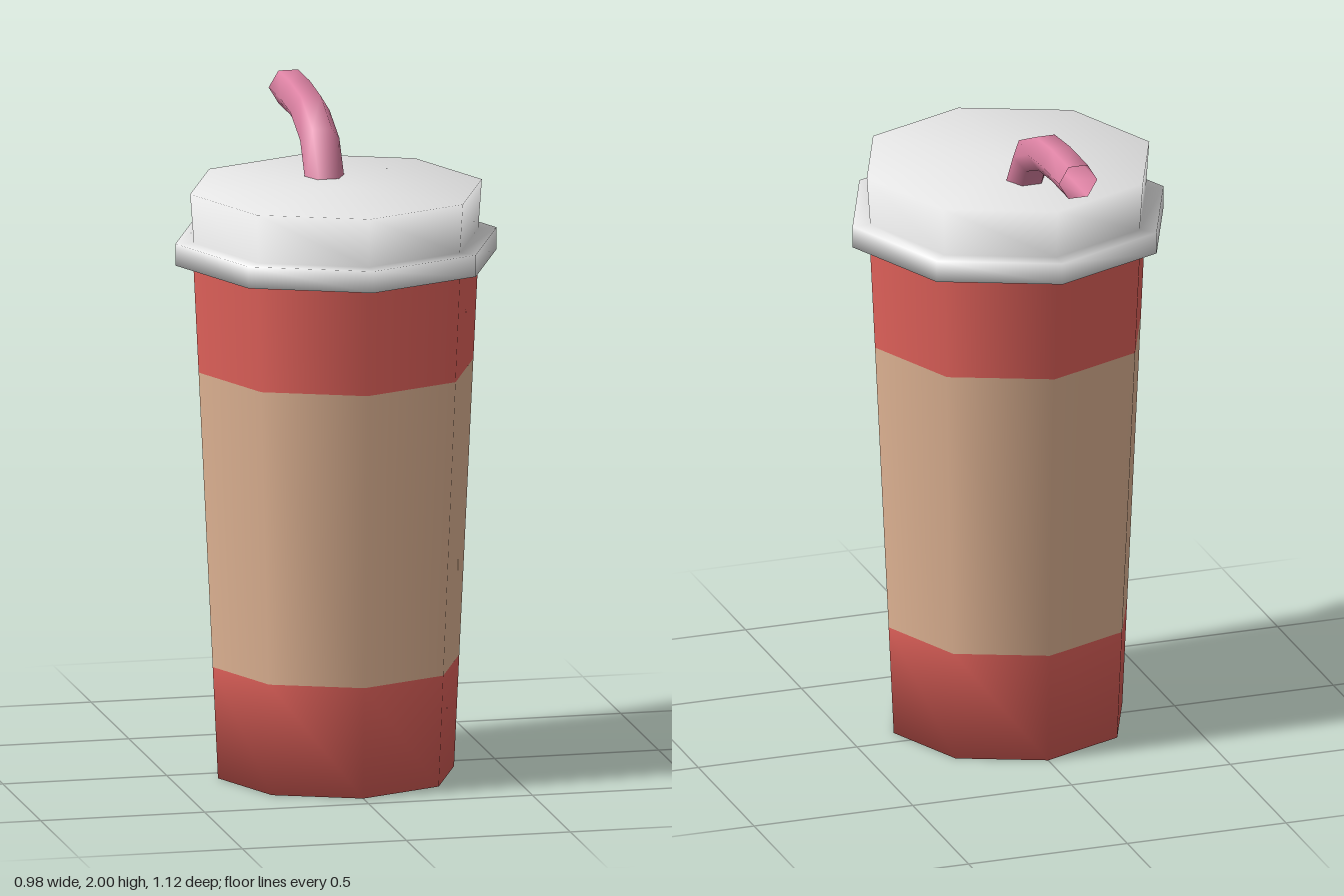
import * as THREE from 'three';

const SIDES = 8;

function material(name, color, side = THREE.FrontSide) {
  const m = new THREE.MeshStandardMaterial({ color, side });
  m.name = name;
  return m;
}

// Smooth eight-sided turned part; profile runs [radius, height] from bottom to top
function turned(name, profile, mat) {
  const points = profile.map(([r, y]) => new THREE.Vector2(r, y));
  const mesh = new THREE.Mesh(new THREE.LatheGeometry(points, SIDES), mat);
  mesh.name = name;
  return mesh;
}

// Open hexagonal tube following [z, y] points in the plane x = 0
function bentTube(path, halfWidth, halfHeight) {
  const centres = path.map(([z, y]) => new THREE.Vector3(0, y, z));
  const positions = [];
  const index = [];
  const n = 6;
  centres.forEach((c, i) => {
    const before = centres[Math.max(i - 1, 0)];
    const after = centres[Math.min(i + 1, centres.length - 1)];
    const dirIn = c.clone().sub(before).normalize();
    const dirOut = after.clone().sub(c).normalize();
    const t = dirIn.add(dirOut).normalize();
    for (let j = 0; j < n; j++) {
      const a = (j / n) * Math.PI * 2;
      const u = Math.cos(a) * halfWidth;
      const v = Math.sin(a) * halfHeight / Math.sin(Math.PI / 3);
      positions.push(u, c.y - t.z * v, c.z + t.y * v);
    }
    if (i === 0) return;
    for (let j = 0; j < n; j++) {
      const k = (j + 1) % n;
      const a = (i - 1) * n + j, b = (i - 1) * n + k;
      const d = i * n + j, e = i * n + k;
      index.push(a, d, b, b, d, e);
    }
  });
  const g = new THREE.BufferGeometry();
  g.setAttribute('position', new THREE.Float32BufferAttribute(positions, 3));
  g.setIndex(index);
  g.computeVertexNormals();
  return g;
}

export function createModel() {
  const red = material('cup red', 0xe2625b);
  const tan = material('sleeve tan', 0xe0b494);
  const white = material('lid white', 0xe6e6e6);
  const pink = material('straw pink', 0xdc82a3, THREE.DoubleSide);

  const model = new THREE.Group();
  model.name = 'drinkCup';

  // Tapered cup in three bands, with a closed base
  const cup = new THREE.Group();
  cup.name = 'cup';
  cup.position.z = 0.07;
  cup.add(
    turned('cupBase', [[0, 0], [0.36, 0], [0.376, 0.34]], red),
    turned('sleeve', [[0.376, 0.34], [0.419, 1.24]], tan),
    turned('cupTop', [[0.419, 1.24], [0.435, 1.57]], red),
    // Lid with a wide lip and a flat raised top
    turned('lid', [
      [0.42, 1.57], [0.49, 1.57], [0.49, 1.636],
      [0.434, 1.636], [0.445, 1.785], [0, 1.785],
    ], white),
  );
  model.add(cup);

  // Bent hollow straw leaning to the back
  const straw = new THREE.Mesh(bentTube([
    [-0.07, 1.76], [-0.145, 1.882], [-0.275, 1.938], [-0.405, 1.95], [-0.56, 1.95],
  ], 0.06, 0.05), pink);
  straw.name = 'straw';
  model.add(straw);

  return model;
}
